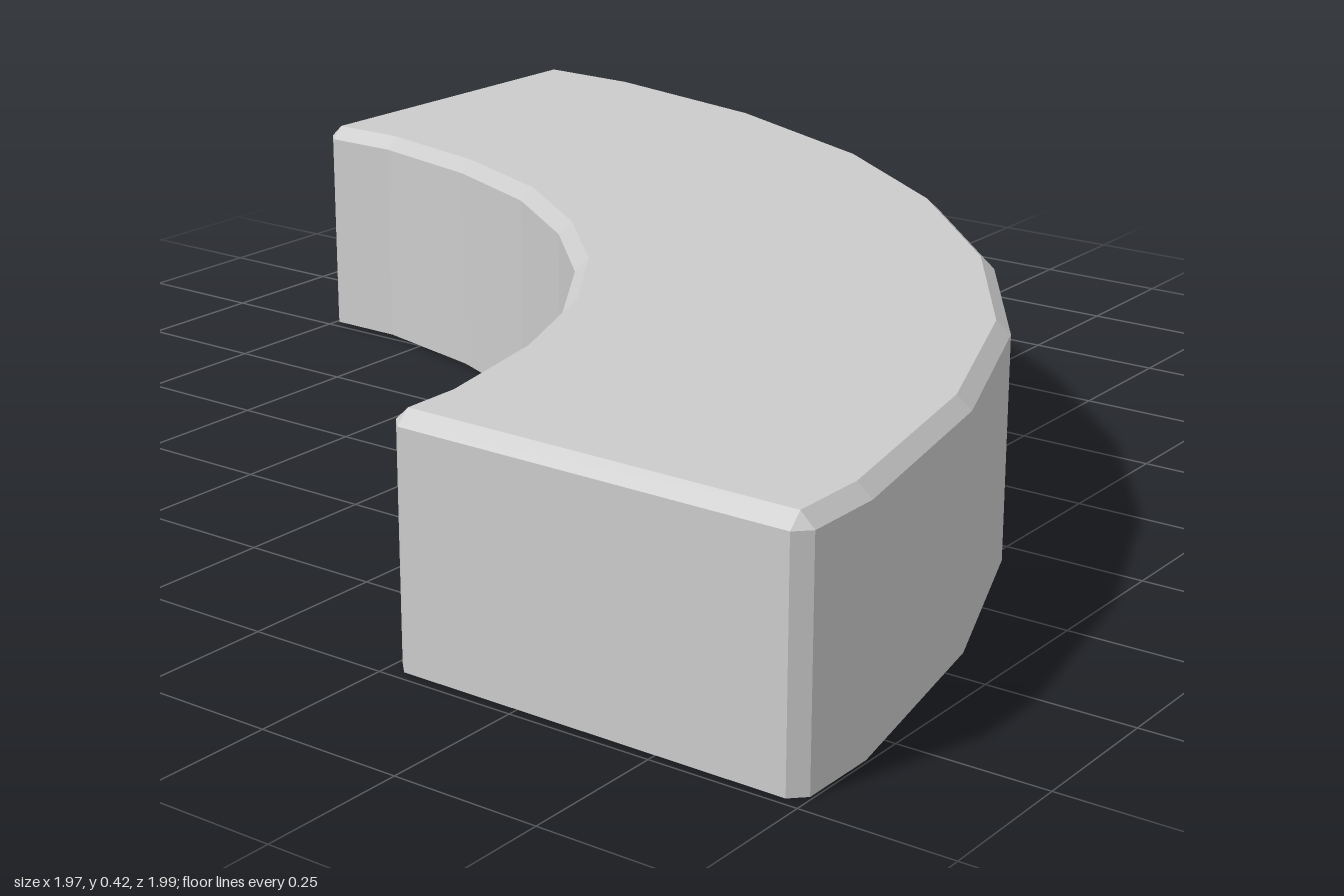
import * as THREE from 'three';

// Plan outline as [x, z]: front curve from left end to back end, then inner curve back again
const OUTER = [[-0.985, 0.995], [-0.82, 0.995], [-0.42, 0.915], [-0.06, 0.775], [0.25, 0.565],
  [0.53, 0.285], [0.735, -0.01], [0.895, -0.38], [0.98, -0.76], [0.985, -0.988]];
const INNER = [[0.255, -1], [0.255, -0.83], [0.2, -0.59], [0.11, -0.37], [-0.03, -0.17],
  [-0.2, 0], [-0.4, 0.13], [-0.62, 0.215], [-0.86, 0.262], [-0.985, 0.262]];
const BEVEL = 0.024, WALL_TOP = 0.388, TOP = 0.411;

// Moves every edge of a counter-clockwise loop inwards by w
function inset(loop, w) {
  const n = loop.length;
  const inward = (a, b) => new THREE.Vector2(a.y - b.y, b.x - a.x).normalize();
  return loop.map((p, i) => {
    const n1 = inward(loop[(i + n - 1) % n], p);
    const n2 = inward(p, loop[(i + 1) % n]);
    return p.clone().addScaledVector(n1.clone().add(n2), w / (1 + n1.dot(n2)));
  });
}

export function createModel() {
  const group = new THREE.Group();
  group.name = 'curvedBlock';

  const sharp = [...OUTER, ...INNER].map(([x, z]) => new THREE.Vector2(x, -z));
  const n = sharp.length;
  const insetLoop = inset(sharp, BEVEL);
  const corners = new Set([0, 9, 10, 19]);

  // Wall loop cuts each end corner; the top loop keeps it as one point
  const wall = [], rim = [];
  sharp.forEach((p, i) => {
    if (!corners.has(i)) { wall.push(p); rim.push(insetLoop[i]); return; }
    for (const q of [sharp[(i + n - 1) % n], sharp[(i + 1) % n]]) {
      wall.push(p.clone().addScaledVector(q.clone().sub(p).normalize(), BEVEL));
      rim.push(insetLoop[i]);
    }
  });

  const positions = [];
  // The block rises very slightly towards the back
  const at = (p, y) => new THREE.Vector3(p.x, y + 0.004 * (1 + p.y), -p.y);
  const tri = (a, b, c) => { for (const v of [a, b, c]) positions.push(v.x, v.y, v.z); };

  // Walls and bevel
  wall.forEach((p, i) => {
    const j = (i + 1) % wall.length;
    const a = at(p, 0), b = at(wall[j], 0);
    const c = at(wall[j], WALL_TOP), d = at(p, WALL_TOP);
    const e = at(rim[j], TOP), f = at(rim[i], TOP);
    tri(a, b, c); tri(a, c, d);
    tri(d, c, e);
    if (rim[i] !== rim[j]) tri(d, e, f);
  });

  // Top and bottom faces
  for (const [i, j, k] of THREE.ShapeUtils.triangulateShape(insetLoop, [])) {
    tri(at(insetLoop[i], TOP), at(insetLoop[j], TOP), at(insetLoop[k], TOP));
  }
  for (const [i, j, k] of THREE.ShapeUtils.triangulateShape(wall, [])) {
    tri(at(wall[k], 0), at(wall[j], 0), at(wall[i], 0));
  }

  const geometry = new THREE.BufferGeometry();
  geometry.setAttribute('position', new THREE.Float32BufferAttribute(positions, 3));
  geometry.computeVertexNormals();
  const block = new THREE.Mesh(geometry,
    new THREE.MeshStandardMaterial({ color: 0xcccccc, flatShading: true }));
  block.name = 'bevelledArc';
  group.add(block);
  return group;
}
